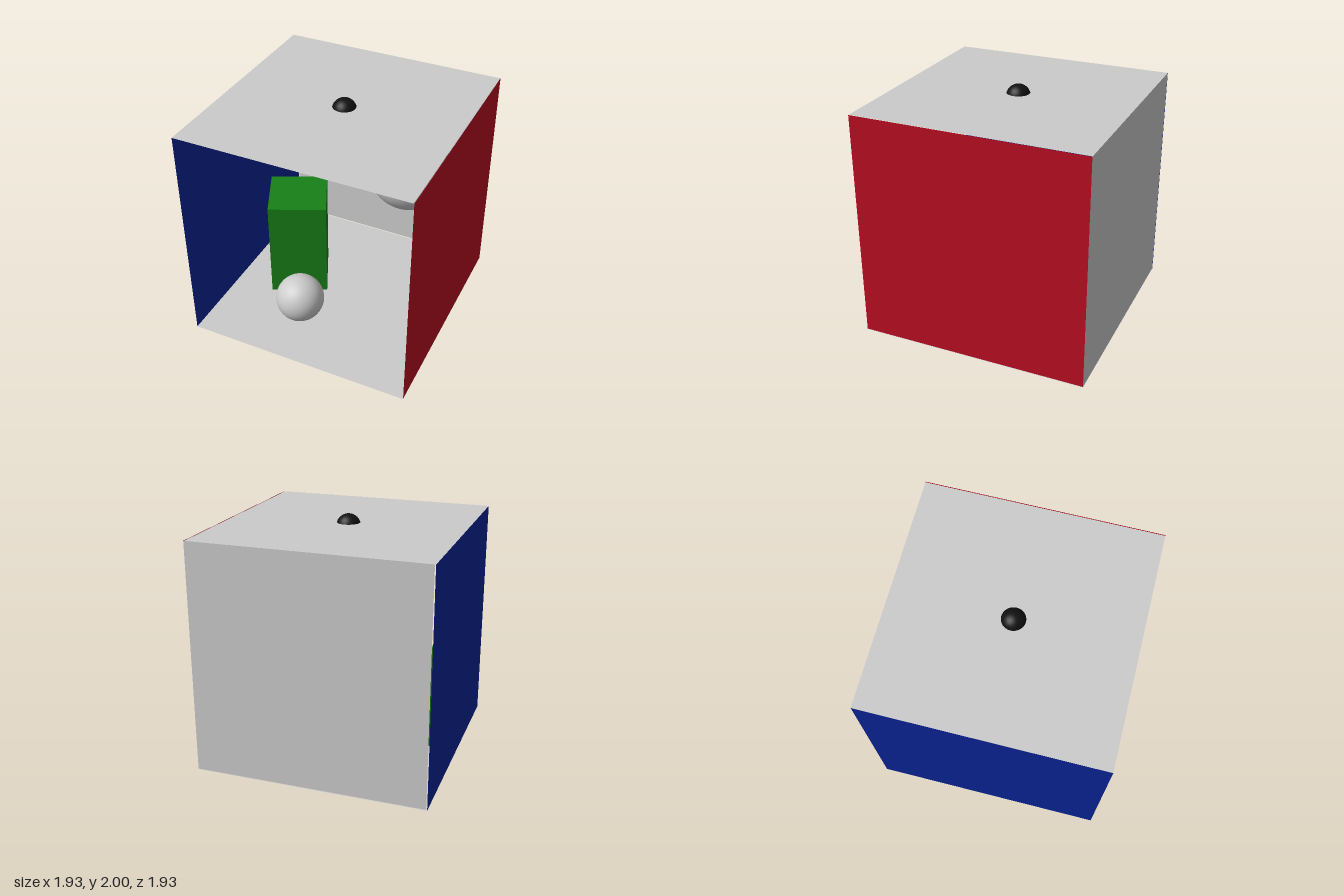
import * as THREE from 'three';

const S = 1.93, H = S / 2;

const material = (color) => new THREE.MeshStandardMaterial({ color, side: THREE.DoubleSide });
const grey = material(0xcccccc);

function add(group, name, geometry, mat, position, rotation = [0, 0, 0]) {
  const mesh = new THREE.Mesh(geometry, mat);
  mesh.name = name;
  mesh.position.set(...position);
  mesh.rotation.set(...rotation);
  group.add(mesh);
  return mesh;
}

export function createModel() {
  const model = new THREE.Group();
  model.name = 'room';
  const q = Math.PI / 2;
  const panel = (w, h) => new THREE.PlaneGeometry(w, h);
  const ball = (r) => new THREE.SphereGeometry(r, 40, 28);

  // Thin panels, open at the front, with hairline seams at the corners
  add(model, 'floor', panel(S, S), grey, [0, 0, 0], [-q, 0, 0]);
  add(model, 'ceiling', panel(S - 0.005, S), grey, [-0.003, S, 0], [q, 0, 0]);
  add(model, 'backWall', panel(S - 0.008, S - 0.006), grey, [0.004, H + 0.003, -H]);
  add(model, 'leftWall', panel(S, S - 0.005), material(0xb90e22), [H, H + 0.003, 0], [0, -q, 0]);
  add(model, 'rightWall', panel(S, S), material(0x0a2498), [-H, H, 0], [0, q, 0]);

  // Turned block hovering just above the floor
  add(model, 'block', new THREE.BoxGeometry(0.492, 0.895, 0.492), material(0x188018),
    [-0.44, 0.527, 0.015], [0, 0.435, 0]);

  // Floating spheres
  add(model, 'largeSphere', ball(0.347), grey, [0.47, 1.32, -0.265]);
  add(model, 'smallSphere', ball(0.204), grey, [-0.16, 0.317, 0.555]);

  // Lamp set through the ceiling
  add(model, 'ceilingLamp', ball(0.1), material(0x111111), [-0.005, 1.9, 0]);

  return model;
}
